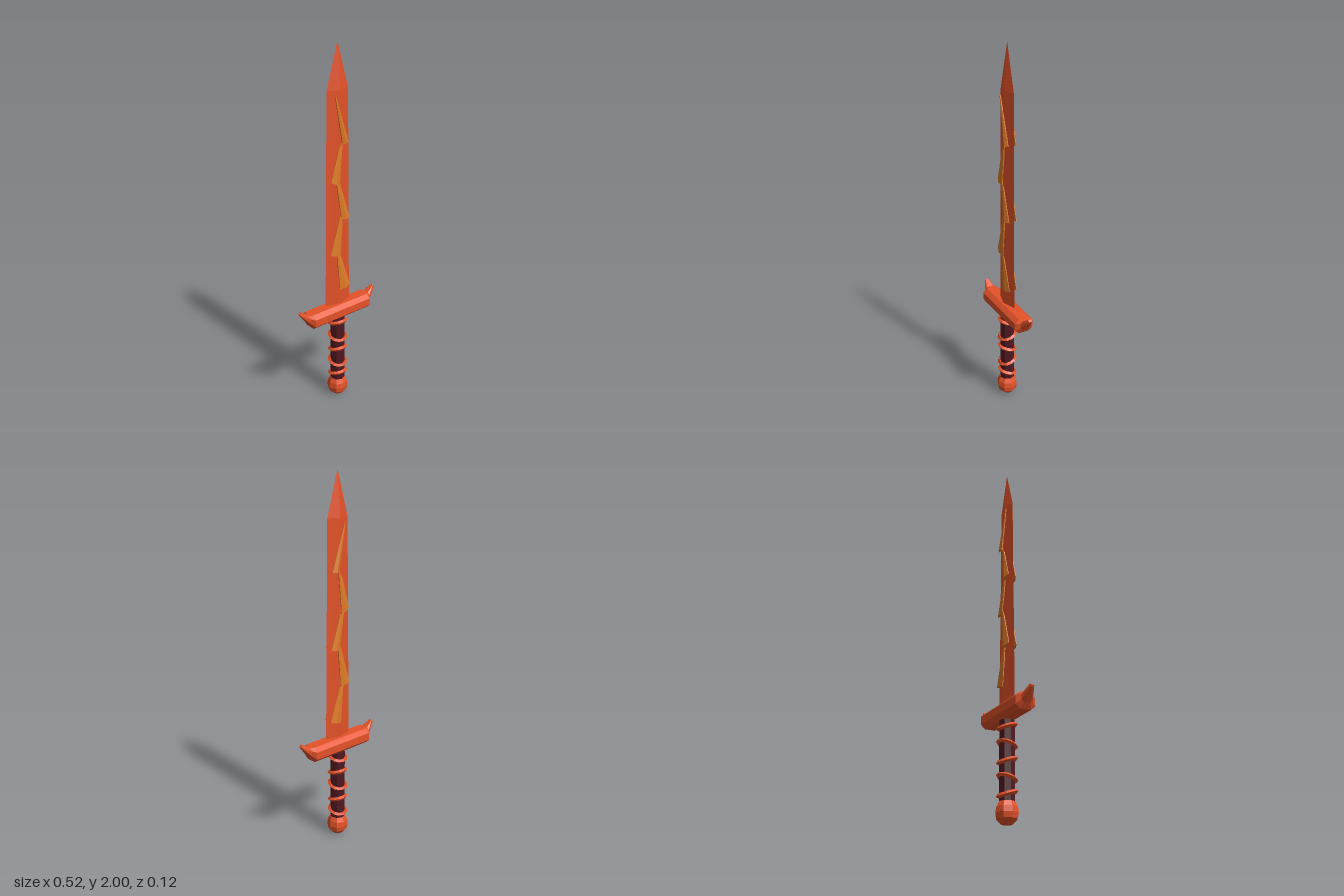
import * as THREE from 'three';
import { ConvexGeometry } from 'three/addons/geometries/ConvexGeometry.js';

const mat = (name, color) => {
  const m = new THREE.MeshStandardMaterial({ color, flatShading: true });
  m.name = name;
  return m;
};

// Faceted solid spanned by a few corner points
const hull = (points) => new ConvexGeometry(points.map((p) => new THREE.Vector3(...p)));

// Eight-cornered cross-section of the guard at a given x
function octagon(x, y, halfH, halfD) {
  const pts = [];
  for (const sy of [-1, 1]) for (const sz of [-1, 1]) {
    pts.push([x, y + sy * halfH, sz * halfD * 0.56], [x, y + sy * halfH * 0.5, sz * halfD]);
  }
  return pts;
}

export function createModel() {
  const red = mat('copper red', 0xe45228);
  const gold = mat('ember gold', 0xe07c27);
  const dark = mat('dark maroon', 0x4e1820);
  const model = new THREE.Group();
  model.name = 'sword';

  const add = (name, geometry, material, parent = model) => {
    const mesh = new THREE.Mesh(geometry, material);
    mesh.name = name;
    parent.add(mesh);
    return mesh;
  };

  // Blade: diamond section tapering to a point
  const diamond = (y, w, d) => [[w, y, 0], [-w, y, 0], [0, y, d], [0, y, -d]];
  add('blade', hull([...diamond(0.602, 0.082, 0.025), ...diamond(1.77, 0.067, 0.021), [0, 2, 0]]), red);

  // Zigzag shards on both faces: two top corners, then outer and inner base corners
  const shards = [
    [[-0.032, 1.745], [-0.026, 1.74], [0.053, 1.505], [0.013, 1.5]],
    [[-0.012, 1.47], [0.014, 1.51], [-0.058, 1.31], [-0.006, 1.285]],
    [[-0.024, 1.3], [-0.004, 1.3], [0.062, 1.1], [0.008, 1.095]],
    [[-0.002, 1.11], [0.018, 1.13], [-0.063, 0.905], [0, 0.89]],
    [[-0.02, 0.9], [0, 0.9], [0.068, 0.7], [-0.002, 0.685]],
  ];
  const frontZ = [0.025, 0.025, 0.023, 0.027];
  for (const side of [1, -1]) {
    const group = new THREE.Group();
    group.name = side > 0 ? 'frontShards' : 'backShards';
    model.add(group);
    for (const shard of shards) {
      const pts = shard.flatMap(([x, y], i) => [[x, y, side * frontZ[i]], [x, y, side * 0.02]]);
      const [, , outer, inner] = shard;
      // raised ridge in the middle of the base
      pts.push([(outer[0] + inner[0]) / 2, (outer[1] + inner[1]) / 2, side * 0.035]);
      add('shard', hull(pts), gold, group);
    }
  }

  // Guard bar with upswept horns
  const guard = new THREE.Group();
  guard.name = 'guard';
  model.add(guard);
  const barEnd = (s) => octagon(s * 0.189, 0.555, 0.042, 0.053);
  add('guardBar', hull([...barEnd(-1), ...barEnd(1)]), red, guard);
  for (const s of [1, -1]) {
    const collar = octagon(s * 0.207, 0.567, 0.027, 0.031);
    add('guardCollar', hull([...barEnd(s), ...collar]), red, guard);
    const tip = [-0.009, 0.009].flatMap((z) => [[s * 0.25, 0.622, z], [s * 0.26, 0.613, z], [s * 0.255, 0.603, z]]);
    add('guardHorn', hull([...collar, ...tip]), red, guard);
  }

  // Grip with alternately tilted rings
  add('grip', new THREE.CylinderGeometry(0.04, 0.04, 0.408, 8), dark).position.y = 0.304;
  [0.478, 0.388, 0.308, 0.223, 0.148].forEach((y, i) => {
    const ring = add('gripRing', new THREE.TorusGeometry(0.045, 0.011, 4, 12), red);
    ring.position.y = y;
    ring.rotation.x = Math.PI / 2 + (i % 2 ? 0.3 : -0.3);
  });

  // Pommel: faceted knob with a flat top around the grip
  const knob = [[0, 0], [0.028, 0.005], [0.053, 0.03], [0.058, 0.058], [0.054, 0.086], [0.041, 0.111], [0, 0.112]];
  add('pommel', new THREE.LatheGeometry(knob.map((p) => new THREE.Vector2(...p)), 8), red);

  return model;
}
